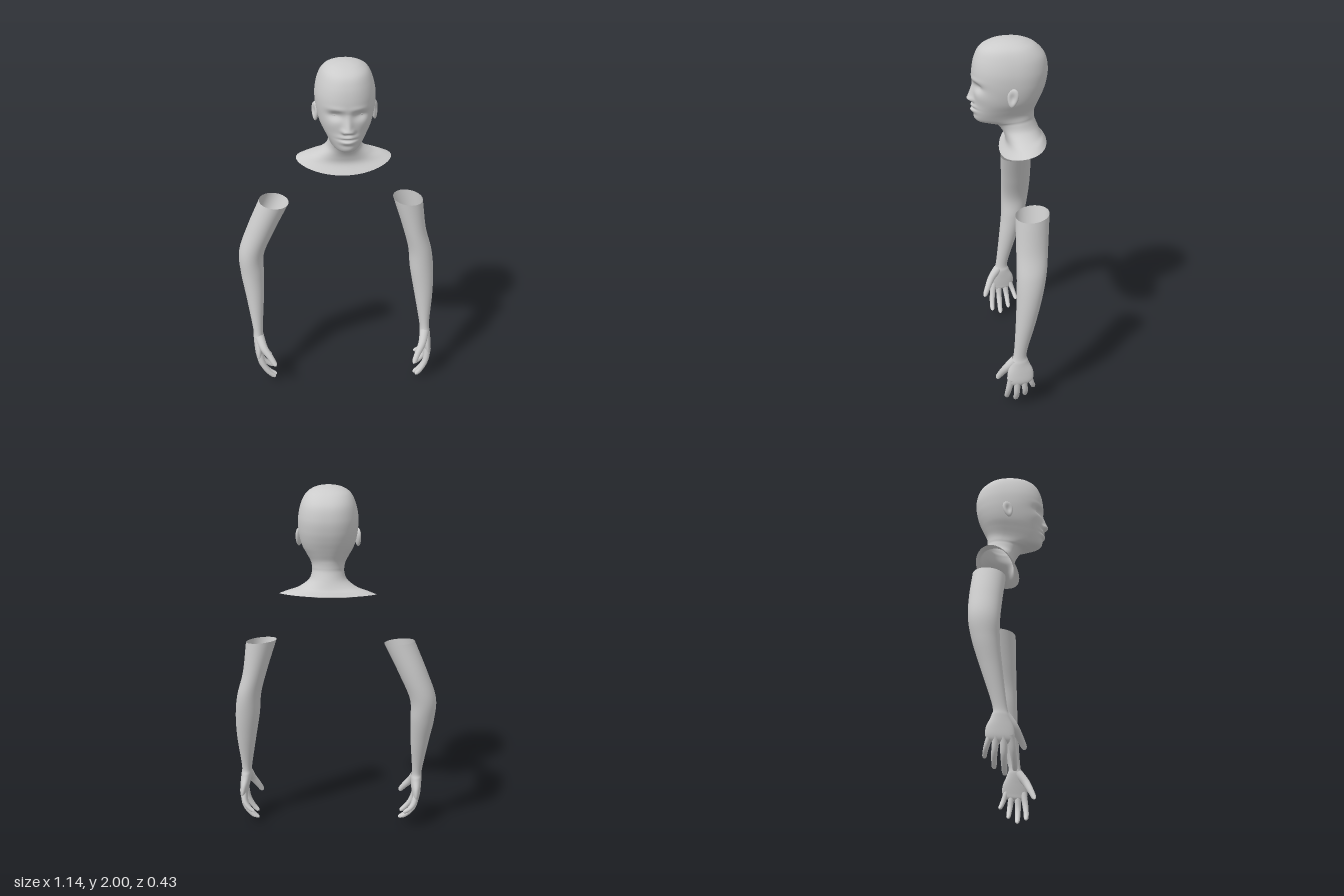
import * as THREE from 'three';

const material = new THREE.MeshStandardMaterial({ color: 0xcccccc, side: THREE.DoubleSide, roughness: 0.7 });
const { smoothstep, lerp } = THREE.MathUtils;
const bell = (u, s) => Math.exp(-(u * u) / (2 * s * s));

function addMesh(parent, name, geometry) {
  const mesh = new THREE.Mesh(geometry, material);
  mesh.name = name;
  parent.add(mesh);
  return mesh;
}

// Smooth interpolation through rows of numbers, t from 0 to 1
function sampleRows(rows, t) {
  const last = rows.length - 1;
  const i = Math.min(Math.floor(t * last), last - 1);
  const f = t * last - i;
  return rows[i].map((b, k) => {
    const c = rows[i + 1][k];
    const a = i > 0 ? rows[i - 1][k] : 2 * b - c;
    const d = i + 2 <= last ? rows[i + 2][k] : 2 * c - b;
    return 0.5 * (2 * b + (c - a) * f + (2 * a - 5 * b + 4 * c - d) * f * f + (3 * b - a - 3 * c + d) * f * f * f);
  });
}

// Skin of closed rings running downwards; point(t, angle) gives each vertex
function loft(rings, sides, point) {
  const positions = [], index = [];
  for (let i = 0; i <= rings; i++) {
    for (let j = 0; j < sides; j++) {
      positions.push(...point(i / rings, (j / sides) * Math.PI * 2));
      if (i === rings) continue;
      const a = i * sides + j, b = i * sides + ((j + 1) % sides);
      index.push(a, b, a + sides, b, b + sides, a + sides);
    }
  }
  const geometry = new THREE.BufferGeometry();
  geometry.setAttribute('position', new THREE.Float32BufferAttribute(positions, 3));
  geometry.setIndex(index);
  geometry.computeVertexNormals();
  return geometry;
}

// Head and neck rings: front y, front z, back y, back z, half width, z of widest point
const headRows = [
  [2.0, -0.01, 2.0, -0.01, 0, -0.01],
  [1.995, 0.04, 1.995, -0.06, 0.045, -0.01],
  [1.98, 0.095, 1.985, -0.105, 0.085, -0.01],
  [1.95, 0.145, 1.96, -0.155, 0.122, -0.02],
  [1.9, 0.172, 1.91, -0.2, 0.147, -0.03],
  [1.84, 0.185, 1.84, -0.216, 0.161, -0.03],
  [1.78, 0.187, 1.775, -0.21, 0.161, -0.03],
  [1.72, 0.181, 1.725, -0.196, 0.153, -0.03],
  [1.66, 0.178, 1.685, -0.18, 0.139, -0.03],
  [1.61, 0.178, 1.65, -0.165, 0.118, -0.03],
  [1.57, 0.172, 1.62, -0.152, 0.1, -0.035],
  [1.545, 0.155, 1.6, -0.148, 0.091, -0.045],
  [1.534, 0.11, 1.575, -0.147, 0.088, -0.055],
  [1.525, 0.06, 1.55, -0.15, 0.088, -0.06],
  [1.49, 0.028, 1.505, -0.168, 0.104, -0.07],
  [1.45, 0.01, 1.47, -0.185, 0.155, -0.08],
  [1.41, 0.008, 1.452, -0.198, 0.215, -0.085],
  [1.36, 0.04, 1.432, -0.212, 0.265, -0.09],
];

// Forward relief of the face at height y and distance x from its middle
function faceRelief(x, y) {
  const ax = Math.abs(x);
  const n = (1.765 - y) / 0.09;
  const ridge = n <= 0 ? 0 : n < 1 ? Math.pow(n, 1.2) : 1 - smoothstep(y, 1.675 - 0.024, 1.675) * -1 - 1;
  const noseHeight = n < 1 ? ridge : smoothstep(y, 1.651, 1.675);
  let z = 0.037 * noseHeight * bell(x, 0.011 + 0.007 * THREE.MathUtils.clamp(n, 0, 1));
  z += 0.012 * bell(ax - 0.022, 0.009) * bell(y - 1.669, 0.01);
  z -= 0.022 * bell(ax - 0.065, 0.028) * bell(y - 1.755, 0.017);
  z += 0.005 * bell(ax - 0.06, 0.035) * bell(y - 1.79, 0.01);
  z += 0.018 * bell(x, 0.028) * (0.85 * bell(y - 1.637, 0.009) + bell(y - 1.61, 0.01));
  z -= 0.009 * bell(x, 0.03) * bell(y - 1.624, 0.004);
  z += 0.006 * bell(x, 0.03) * bell(y - 1.565, 0.014);
  z += 0.006 * bell(ax - 0.095, 0.03) * bell(y - 1.7, 0.025);
  return z;
}

function headPoint(t, angle) {
  const [yF, zF, yB, zB, w, zc] = sampleRows(headRows, t);
  const c = Math.cos(angle), s = Math.sin(angle);
  const power = 2 / lerp(2.25, 2, smoothstep(t, 0.55, 0.75));
  const x = w * Math.sign(c) * Math.pow(Math.abs(c), power);
  const z = zc + (s > 0 ? zF - zc : zc - zB) * Math.sign(s) * Math.pow(Math.abs(s), power);
  const along = THREE.MathUtils.clamp((z - zB) / (zF - zB || 1), 0, 1);
  const y = lerp(yB, yF, Math.pow(along, 1 + 1.6 * smoothstep(t, 0.85, 1)));
  return [x, y, z + (t < 0.75 ? faceRelief(x, y) * smoothstep(s, 0.15, 0.5) : 0)];
}

// Dished, tapering ear
function earGeometry() {
  const geometry = new THREE.SphereGeometry(1, 32, 24);
  const p = geometry.attributes.position;
  for (let i = 0; i < p.count; i++) {
    const x = p.getX(i), y = p.getY(i), z = p.getZ(i);
    const dish = x > 0 ? 0.9 * Math.exp(-(y * y + z * z) / 0.3) : 0;
    p.setXYZ(i, (x - dish) * 0.016, y * 0.052, z * 0.03 * (1 + 0.25 * y));
  }
  geometry.computeVertexNormals();
  return geometry;
}

function createHead() {
  const head = new THREE.Group();
  head.name = 'head';
  head.position.x = 0.035;
  addMesh(head, 'headAndNeck', loft(170, 160, headPoint));
  for (const side of [1, -1]) {
    const name = side > 0 ? 'left' : 'right';
    const eye = addMesh(head, name + 'Eye', new THREE.SphereGeometry(1, 24, 16));
    eye.scale.set(0.025, 0.011, 0.016);
    eye.position.set(side * 0.066, 1.754, 0.134);
    eye.rotation.y = side * 0.3;
    const pivot = new THREE.Group();
    pivot.name = name + 'EarGroup';
    pivot.scale.x = side;
    const ear = addMesh(pivot, name + 'Ear', earGeometry());
    ear.position.set(0.161, 1.72, -0.014);
    ear.rotation.set(-0.15, -0.4, 0);
    head.add(pivot);
  }
  return head;
}

// Arm rings: centre x, y, z, half width, half depth
const arms = {
  left: [
    [0.405, 1.15, -0.093, 0.085, 0.09], [0.445, 0.97, -0.088, 0.068, 0.085], [0.482, 0.83, -0.082, 0.068, 0.08],
    [0.496, 0.7, -0.07, 0.069, 0.07], [0.508, 0.55, -0.05, 0.055, 0.055], [0.516, 0.36, -0.02, 0.03, 0.036],
  ],
  right: [
    [-0.36, 1.155, -0.1, 0.084, 0.09], [-0.44, 0.98, -0.11, 0.078, 0.088], [-0.497, 0.83, -0.112, 0.072, 0.083],
    [-0.497, 0.7, -0.1, 0.067, 0.072], [-0.487, 0.55, -0.07, 0.051, 0.056], [-0.478, 0.36, -0.03, 0.029, 0.037],
  ],
};

// Palm rings, measured like the left arm
const palmRows = [
  [0.521, 0.3, -0.015, 0.031, 0.048], [0.53, 0.24, -0.018, 0.028, 0.07],
  [0.537, 0.19, -0.018, 0.023, 0.072], [0.537, 0.165, -0.016, 0.016, 0.055], [0.537, 0.155, -0.014, 0.001, 0.002],
];

// Finger paths of the left hand with root and tip radius
const fingers = {
  Thumb: [[[0.516, 0.31, 0.005], [0.498, 0.25, 0.05], [0.466, 0.19, 0.08], [0.442, 0.138, 0.102]], 0.028, 0.014],
  IndexFinger: [[[0.536, 0.2, 0.032], [0.522, 0.12, 0.044], [0.492, 0.06, 0.05], [0.462, 0.025, 0.05]], 0.02, 0.013],
  MiddleFinger: [[[0.54, 0.195, 0.0], [0.532, 0.1, 0.0], [0.495, 0.04, 0.0], [0.455, 0.006, 0.0]], 0.02, 0.013],
  RingFinger: [[[0.54, 0.195, -0.036], [0.53, 0.115, -0.046], [0.502, 0.07, -0.05], [0.467, 0.038, -0.052]], 0.019, 0.012],
  LittleFinger: [[[0.535, 0.21, -0.064], [0.525, 0.15, -0.085], [0.505, 0.12, -0.094], [0.472, 0.095, -0.101]], 0.017, 0.011],
};

// Tapered finger with a rounded tip
function fingerGeometry(points, rootRadius, tipRadius) {
  const steps = 32, sides = 14;
  const curve = new THREE.CatmullRomCurve3(points);
  const geometry = new THREE.TubeGeometry(curve, steps, 1, sides);
  const p = geometry.attributes.position, v = new THREE.Vector3();
  for (let i = 0; i < p.count; i++) {
    const t = Math.floor(i / (sides + 1)) / steps;
    const centre = curve.getPointAt(t);
    const cap = Math.sqrt(Math.max(1 - Math.pow(Math.max(t - 0.88, 0) / 0.12, 2), 0.0004));
    v.fromBufferAttribute(p, i).sub(centre).multiplyScalar(lerp(rootRadius, tipRadius, t) * cap).add(centre);
    p.setXYZ(i, v.x, v.y, v.z);
  }
  return geometry;
}

function createArm(side) {
  const arm = new THREE.Group();
  arm.name = side + 'Arm';
  // The right hand mirrors the left one and bends further inwards at the wrist
  const place = ([x, y, z]) => {
    if (side === 'left') return [x, y, z];
    const dx = 0.516 - x, dy = y - 0.36, c = Math.cos(0.14) * 0.95, s = Math.sin(0.14) * 0.95;
    return [-0.478 + dx * c - dy * s, 0.36 + dx * s + dy * c, z - 0.01];
  };
  const rows = [...arms[side], ...palmRows.map((r) => [...place(r), r[3], r[4]])];
  addMesh(arm, side + 'ArmAndPalm', loft(110, 48, (t, angle) => {
    const [x, y, z, hx, hz] = sampleRows(rows, t);
    const dx = hx * Math.cos(angle), dz = hz * Math.sin(angle);
    return [x + dx, y - 0.1 * dx - 0.1 * dz, z + dz];
  }));
  for (const [name, [path, root, tip]] of Object.entries(fingers)) {
    const points = path.map((q) => new THREE.Vector3(...place(q)));
    addMesh(arm, side + name, fingerGeometry(points, root, tip));
  }
  return arm;
}

export function createModel() {
  const model = new THREE.Group();
  model.name = 'headAndArms';
  model.add(createHead(), createArm('left'), createArm('right'));
  return model;
}
